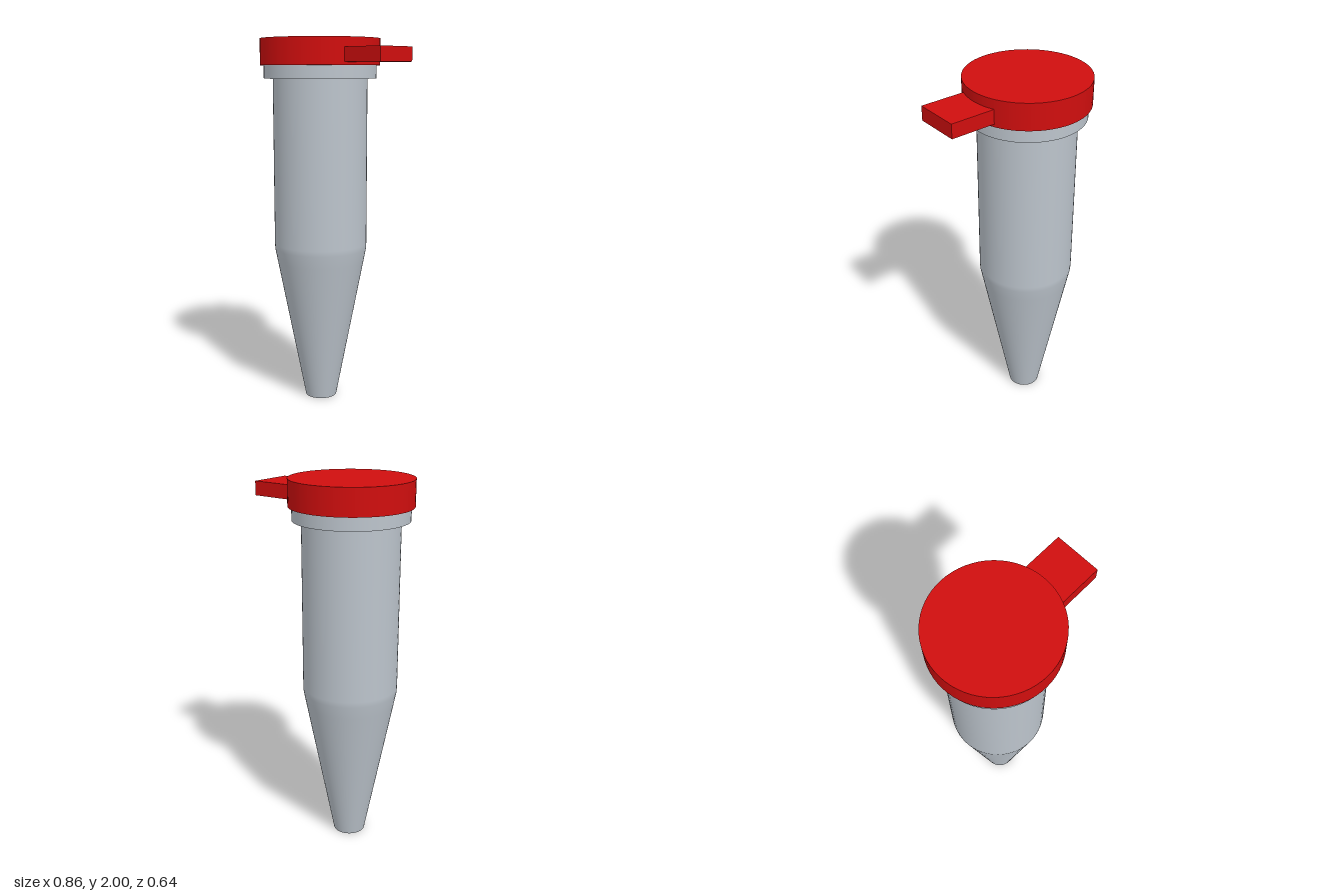
import * as THREE from 'three';

export function createModel() {
  const model = new THREE.Group();
  model.name = 'cappedTube';
  const plastic = new THREE.MeshStandardMaterial({ color: 0xbcc4cc });
  plastic.name = 'pale grey plastic';
  const red = new THREE.MeshStandardMaterial({ color: 0xd00e0e });
  red.name = 'red plastic';

  const axisX = -0.108;
  const add = (name, geometry, material, x, y) => {
    const mesh = new THREE.Mesh(geometry, material);
    mesh.name = name;
    mesh.position.set(x, y, 0);
    model.add(mesh);
  };
  const disc = (name, radius, y0, y1, material) =>
    add(name, new THREE.CylinderGeometry(radius, radius, y1 - y0, 64), material, axisX, (y0 + y1) / 2);

  // Tube wall: tapered lower part blending into a straight barrel
  const profile = [[0.087, 0], [0.24, 0.79], [0.2535, 0.86], [0.255, 0.89], [0.255, 1.8]]
    .map(([r, y]) => new THREE.Vector2(r, y));
  add('tubeBody', new THREE.LatheGeometry(profile, 64), plastic, axisX, 0);

  // Flat tip closing the bottom
  const tip = new THREE.CircleGeometry(0.087, 64);
  tip.rotateX(Math.PI / 2);
  add('tubeTip', tip, plastic, axisX, 0);

  // Collar under the lid
  disc('collar', 0.303, 1.79, 1.87, plastic);

  // Lid and its thumb tab
  disc('lid', 0.322, 1.86, 2, red);
  add('lidTab', new THREE.BoxGeometry(0.28, 0.075, 0.24), red, 0.29, 1.9125);

  return model;
}
